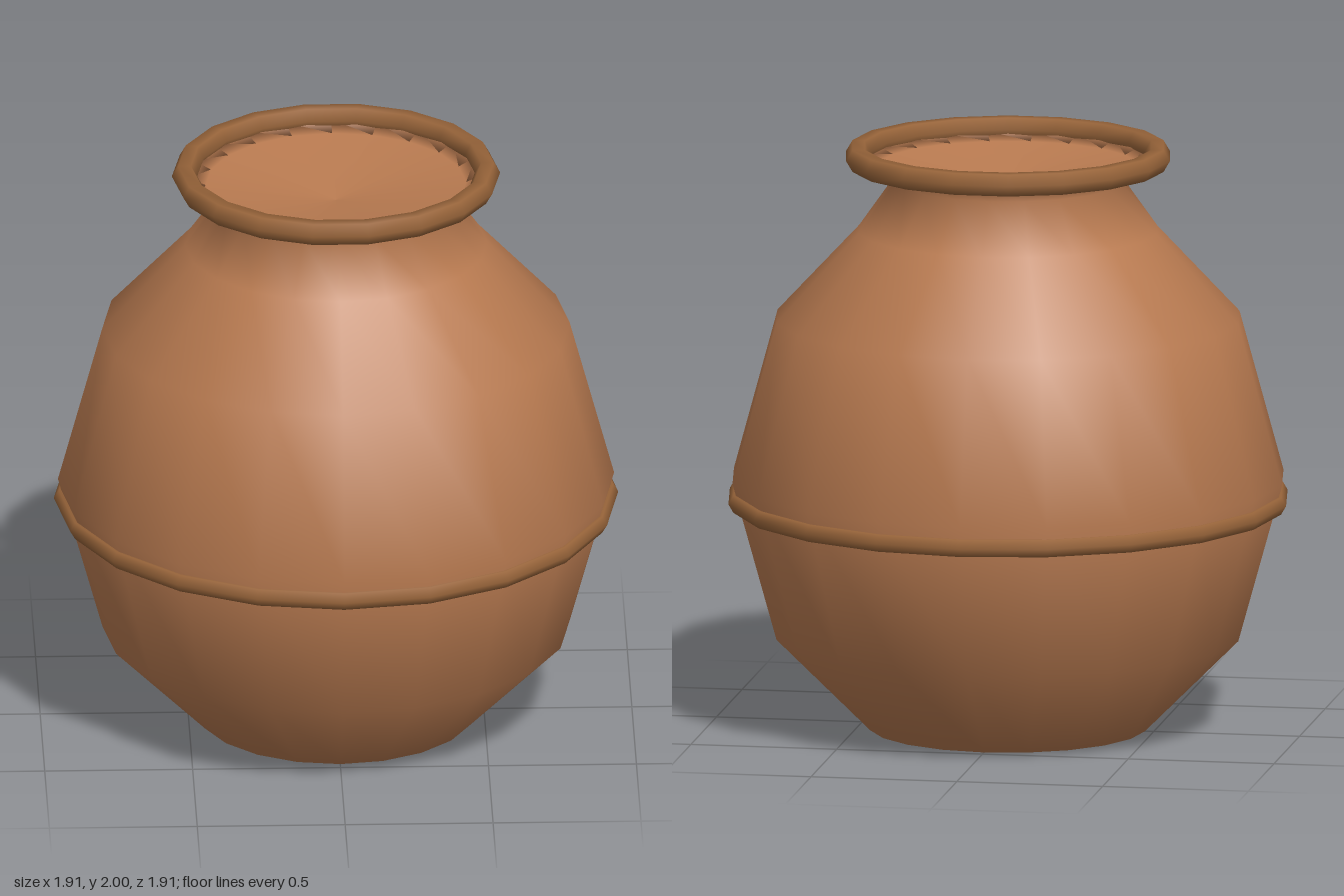
import * as THREE from 'three';

const clay = new THREE.MeshStandardMaterial({ color: 0xb87a50 });
const darkClay = new THREE.MeshStandardMaterial({ color: 0x966339 });

// Horizontal hoop with a six-sided section
function hoop(name, radius, tube, y, segments) {
  const geometry = new THREE.TorusGeometry(radius, tube, 6, segments);
  geometry.rotateX(Math.PI / 2);
  const mesh = new THREE.Mesh(geometry, darkClay);
  mesh.name = name;
  mesh.position.y = y;
  return mesh;
}

export function createModel() {
  const group = new THREE.Group();
  group.name = 'clayPot';

  // Turned body: closed base, belly, neck, flared lip and shallow dished top
  const profile = [
    [0, 0], [0.47, 0], [0.79, 0.32], [0.94, 0.86], [0.79, 1.41],
    [0.51, 1.71], [0.39, 1.88], [0.5, 1.955], [0.44, 1.93], [0, 1.87],
  ].map(([r, y]) => new THREE.Vector2(r, y));
  const body = new THREE.Mesh(new THREE.LatheGeometry(profile, 20), clay);
  body.name = 'body';
  group.add(body);

  // Thick rim around the mouth and thin band around the belly
  group.add(hoop('rim', 0.512, 0.043, 1.963, 18));
  group.add(hoop('bellyBand', 0.92, 0.034, 0.79, 20));

  return group;
}
